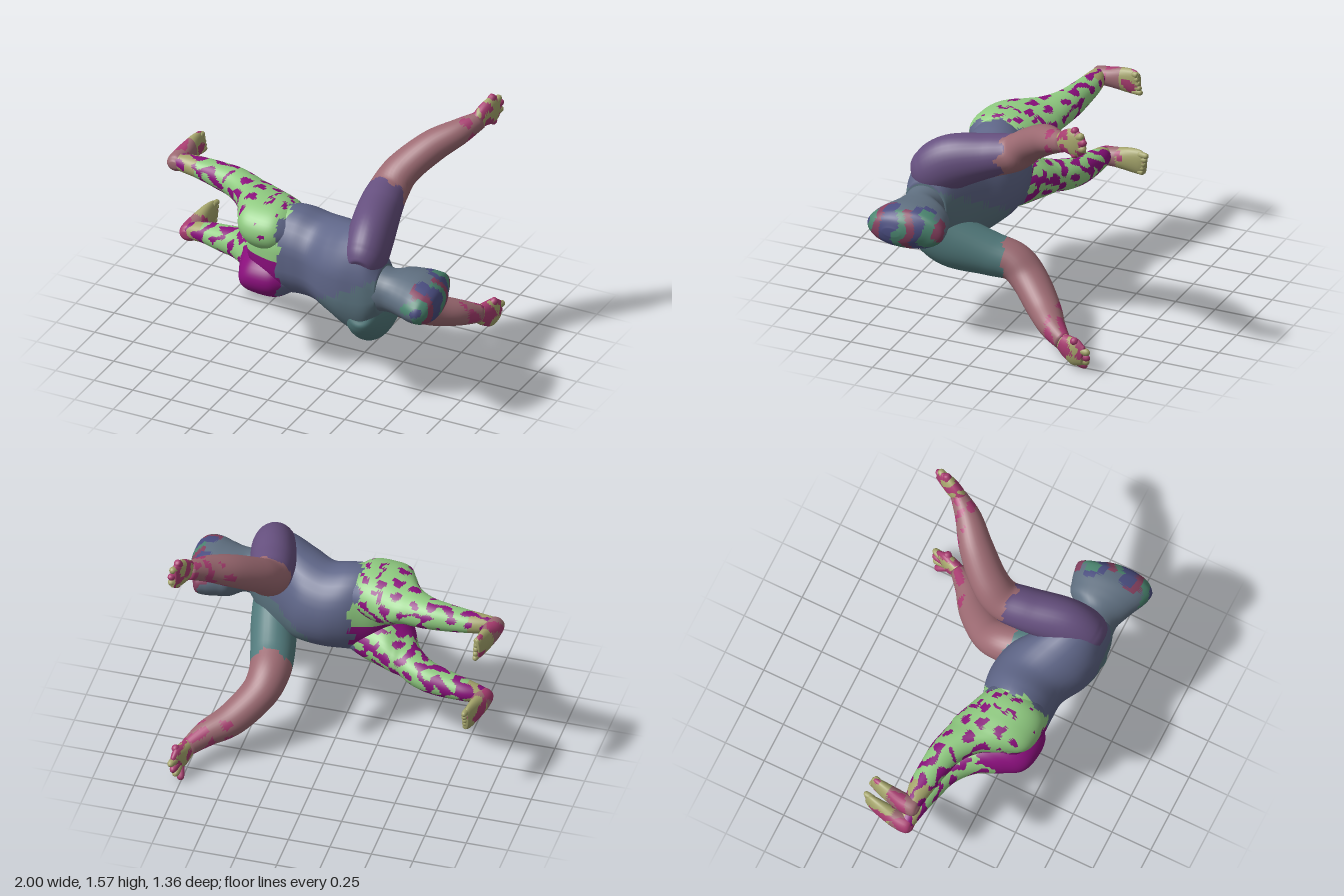
import * as THREE from 'three';

const mats = {};
const mat = (c) => (mats[c] ??= new THREE.MeshStandardMaterial({ color: c, roughness: 0.9 }));

// Smooth wave noise, used for blotchy skin
const noise = (p, f) =>
  Math.sin(p.x * f + 2 * Math.sin(p.y * f * 0.7)) + Math.sin(p.y * f * 1.3 + 2 * Math.sin(p.z * f * 0.8)) +
  Math.sin(p.z * f * 1.1 + 2 * Math.sin(p.x * f * 0.6));

// Skin lofted through elliptical sections [x, y, z, radiusUp, radiusSide].
// pick(centre) chooses the palette colour of each face, shape(angle) scales the radius,
// axis keeps all sections parallel instead of square to the path.
function loft(name, sections, palette, { pick = () => 0, shape = () => 1, axis, sides = 32, steps = 7 } = {}) {
  const path = new THREE.CatmullRomCurve3(sections.map((s) => new THREE.Vector3(s[0], s[1], s[2])), false, 'catmullrom');
  const radii = new THREE.CatmullRomCurve3(sections.map((s) => new THREE.Vector3(s[3], s[4], 0)), false, 'catmullrom');
  const n = (sections.length - 1) * steps;
  const verts = [];
  const up = new THREE.Vector3(0, 1, 0);
  for (let i = 0; i <= n; i++) {
    const c = path.getPoint(i / n), r = radii.getPoint(i / n), t = axis ?? path.getTangent(i / n);
    const u = up.clone().addScaledVector(t, -up.dot(t)).normalize();
    const v = t.clone().cross(u);
    for (let j = 0; j < sides; j++) {
      const a = (j / sides) * Math.PI * 2, k = shape(a);
      verts.push(c.clone().addScaledVector(u, r.x * k * Math.cos(a)).addScaledVector(v, r.y * k * Math.sin(a)));
    }
  }
  verts.push(path.getPoint(0), path.getPoint(1));
  const start = verts.length - 2, end = start + 1;
  const buckets = palette.map(() => []);
  const face = (a, b, c) => {
    const mid = verts[a].clone().add(verts[b]).add(verts[c]).divideScalar(3);
    buckets[pick(mid)].push(a, b, c);
  };
  for (let j = 0; j < sides; j++) {
    const k = (j + 1) % sides;
    for (let i = 0; i < n; i++) {
      const a = i * sides + j, b = i * sides + k;
      face(a, b, a + sides);
      face(b, b + sides, a + sides);
    }
    face(start, k, j);
    face(end, n * sides + j, n * sides + k);
  }
  const geo = new THREE.BufferGeometry().setFromPoints(verts);
  geo.setIndex(buckets.flat());
  let offset = 0;
  buckets.forEach((b, i) => {
    geo.addGroup(offset, b.length, i);
    offset += b.length;
  });
  geo.computeVertexNormals();
  const mesh = new THREE.Mesh(geo, palette.map(mat));
  mesh.name = name;
  return mesh;
}

// Small tapered finger or toe between two points
function digit(name, a, b, r, color) {
  const mix = (t) => a.map((v, i) => v + (b[i] - v) * t);
  return loft(name, [[...mix(0), r, r], [...mix(0.6), r, r], [...mix(0.9), r * 0.75, r * 0.75], [...mix(1), r * 0.15, r * 0.15]],
    [color], { sides: 10, steps: 3 });
}

const GREEN = 0x8fca80, MAGENTA = 0x8a0f7c, BLUE = 0x5f6688, PURPLE = 0x66507f,
  TEAL = 0x527a7c, ROSE = 0x9c6a72, OLIVE = 0xa5a56c, PINK = 0xa83c70;
const HEADWARD = new THREE.Vector3(1, 0, 0), FOOTWARD = new THREE.Vector3(-1, 0, 0);

export function createModel() {
  const group = new THREE.Group();

  // Torso with a shallow groove along the spine
  group.add(loft('torso', [
    [-0.33, 0.758, 0.33, 0.03, 0.04], [-0.29, 0.758, 0.315, 0.12, 0.11], [-0.2, 0.76, 0.3, 0.24, 0.17],
    [-0.1, 0.765, 0.295, 0.275, 0.205], [0, 0.768, 0.28, 0.272, 0.222], [0.12, 0.755, 0.28, 0.262, 0.23],
    [0.25, 0.755, 0.33, 0.285, 0.25], [0.36, 0.755, 0.385, 0.32, 0.225], [0.46, 0.755, 0.42, 0.345, 0.19],
    [0.54, 0.755, 0.445, 0.29, 0.16], [0.61, 0.755, 0.455, 0.15, 0.13],
  ], [BLUE, GREEN, MAGENTA, 0x5b7480], {
    axis: HEADWARD,
    pick: (p) => {
      if (p.x < -0.08 + 0.015 * noise(p, 40)) return p.y > 0.755 ? 1 : 2;
      return p.x > 0.2 && p.y < 0.8 - 0.6 * (0.5 - p.x) ? 3 : 0;
    },
    shape: (a) => 1 - 0.05 * Math.exp(-(((a - Math.PI / 2) / 0.18) ** 2)),
  }));

  // Neck and head, face towards -z, with coloured bands over the crown
  group.add(loft('head', [
    [0.52, 0.755, 0.44, 0.16, 0.145], [0.6, 0.755, 0.455, 0.14, 0.13], [0.66, 0.755, 0.455, 0.13, 0.13],
    [0.72, 0.755, 0.43, 0.132, 0.178], [0.78, 0.755, 0.432, 0.135, 0.202], [0.85, 0.755, 0.44, 0.135, 0.228],
    [0.91, 0.755, 0.448, 0.122, 0.234], [0.945, 0.755, 0.48, 0.104, 0.185], [0.975, 0.755, 0.495, 0.075, 0.13],
    [0.994, 0.755, 0.5, 0.025, 0.05],
  ], [0x5f6f80, 0x4a4d80, 0x85405f, 0x4b8570], {
    axis: HEADWARD,
    pick: (p) => {
      if (p.x < 0.86 + 0.02 * noise(p, 30)) return 0;
      return 1 + (Math.floor((p.z + 0.015 * noise(p, 25)) * 16 + 16) % 3);
    },
  }));

  // Arms: rounded shoulder, sleeve-coloured upper part, rosy forearm
  const armRadii = [[0.04, 0.03], [0.105, 0.085], [0.15, 0.125], [0.165, 0.135], [0.13, 0.13], [0.112, 0.12], [0.1, 0.112],
    [0.094, 0.1], [0.077, 0.078], [0.055, 0.046]];
  const armX = [0.5, 0.498, 0.49, 0.465, 0.415, 0.395, 0.43, 0.545, 0.665, 0.752];
  const armZ = [0.565, 0.54, 0.47, 0.34, 0.13, -0.02, -0.13, -0.27, -0.38, -0.49];
  const arms = {
    left: {
      y: [0.875, 0.885, 0.925, 1.01, 1.07, 1.11, 1.2, 1.31, 1.383, 1.432], sleeve: PURPLE,
      palm: [1.42, 1.45, 1.465, 1.475],
      tips: [[0.79, 1.56, -0.59], [0.81, 1.53, -0.64], [0.815, 1.49, -0.66], [0.815, 1.445, -0.655], [0.8, 1.375, -0.59]],
    },
    right: {
      y: [0.635, 0.625, 0.585, 0.5, 0.435, 0.4, 0.325, 0.225, 0.178, 0.137], sleeve: TEAL,
      palm: [0.15, 0.125, 0.11, 0.1],
      tips: [[0.81, 0.2, -0.59], [0.81, 0.13, -0.68], [0.795, 0.085, -0.675], [0.78, 0.05, -0.665], [0.75, 0.01, -0.64]],
    },
  };
  const palmShape = [[0.735, -0.45, 0.045, 0.036], [0.762, -0.52, 0.074, 0.044], [0.785, -0.58, 0.088, 0.037], [0.799, -0.64, 0.06, 0.02]];
  for (const [side, arm] of Object.entries(arms)) {
    group.add(loft(side + 'Arm', arm.y.map((y, i) => [armX[i], y, armZ[i], ...armRadii[i]]),
      [arm.sleeve, ROSE, PINK], {
        pick: (p) => {
          if (p.z > 0.03 + 0.012 * noise(p, 35)) return 0;
          return p.z < -0.36 && noise(p, 45) > 0.7 ? 2 : 1;
        },
      }));
    group.add(loft(side + 'Hand', arm.palm.map((y, i) => {
      const [x, z, a, b] = palmShape[i];
      return [x, y, z, a, b];
    }), [OLIVE, PINK], { pick: (p) => (noise(p, 50) > 0.3 ? 1 : 0), sides: 20, steps: 6 }));
    arm.tips.forEach((tip, i) => {
      const base = [0.775, arm.palm[2] + (0.05 - i * 0.025), -0.56];
      group.add(digit(side + 'Finger' + i, base, tip, 0.024, i % 2 ? OLIVE : PINK));
    });
  }

  // Legs: full thigh and buttock with a sharp fold, tapering to the ankle
  const legRadii = [[0.09, 0.15], [0.145, 0.203], [0.152, 0.23], [0.13, 0.225], [0.112, 0.185], [0.1, 0.13],
    [0.088, 0.1], [0.078, 0.085], [0.062, 0.072], [0.054, 0.055], [0.04, 0.04]];
  const legs = {
    left: [[-0.02, 0.91, 0.29], [-0.12, 0.91, 0.3], [-0.25, 0.912, 0.275], [-0.33, 0.93, 0.245], [-0.38, 0.943, 0.2],
      [-0.45, 0.955, 0.13], [-0.55, 0.968, 0.08], [-0.66, 0.975, 0.06], [-0.8, 0.985, 0.045], [-0.9, 0.988, 0.045], [-0.96, 0.99, 0.05]],
    right: [[-0.02, 0.605, 0.29], [-0.12, 0.605, 0.3], [-0.25, 0.6, 0.27], [-0.33, 0.582, 0.235], [-0.38, 0.572, 0.185],
      [-0.45, 0.555, 0.095], [-0.55, 0.54, 0.035], [-0.66, 0.53, 0.01], [-0.78, 0.525, -0.01], [-0.86, 0.515, -0.012], [-0.91, 0.51, -0.01]],
  };
  const footShape = [
    [-0.945, 0.985, 0.095, 0.02, 0.03], [-0.945, 0.985, 0.065, 0.052, 0.055], [-0.943, 0.99, -0.02, 0.06, 0.055],
    [-0.93, 0.998, -0.12, 0.075, 0.042], [-0.918, 1.0, -0.185, 0.077, 0.03], [-0.91, 1.0, -0.22, 0.062, 0.018],
  ];
  for (const [side, path] of Object.entries(legs)) {
    const isLeft = side === 'left';
    group.add(loft(side + 'Leg', path.map((p, i) => [...p, ...legRadii[i]]), [GREEN, MAGENTA, OLIVE, BLUE], {
      axis: FOOTWARD,
      pick: (p) => {
        if (p.x > -0.08 + 0.015 * noise(p, 40)) return 3;
        const bias = isLeft ? (p.z > 0.3 ? 1.7 : 0.7) : (p.x > -0.4 && p.z > 0.2 ? -3 : 0.3);
        if (noise(p, 55) > bias) return 1;
        return p.x < -0.8 ? 2 : 0;
      },
      sides: 48,
      steps: 9,
    }));

    // Foot with a row of toes
    const [dx, dy, dz] = isLeft ? [0, 0, 0] : [0.05, -0.485, -0.06];
    group.add(loft(side + 'Foot', footShape.map(([x, y, z, a, b]) => [x + dx, y + dy, z + dz, a, b]),
      [ROSE, OLIVE, PINK], { pick: (p) => (noise(p, 30) > 0.6 ? 2 : p.z < -0.1 ? 1 : 0), sides: 24, steps: 6 }));
    for (let i = 0; i < 5; i++) {
      const y = 0.945 + i * 0.027 + dy, inner = isLeft ? 4 - i : i;
      group.add(digit(side + 'Toe' + i, [-0.913 + dx, y, -0.18 + dz], [-0.903 + dx, y, -0.215 - inner * 0.007 + dz], 0.018, OLIVE));
    }
  }

  // Rest the lowest point on the ground
  group.position.y = -new THREE.Box3().setFromObject(group).min.y;
  return group;
}
